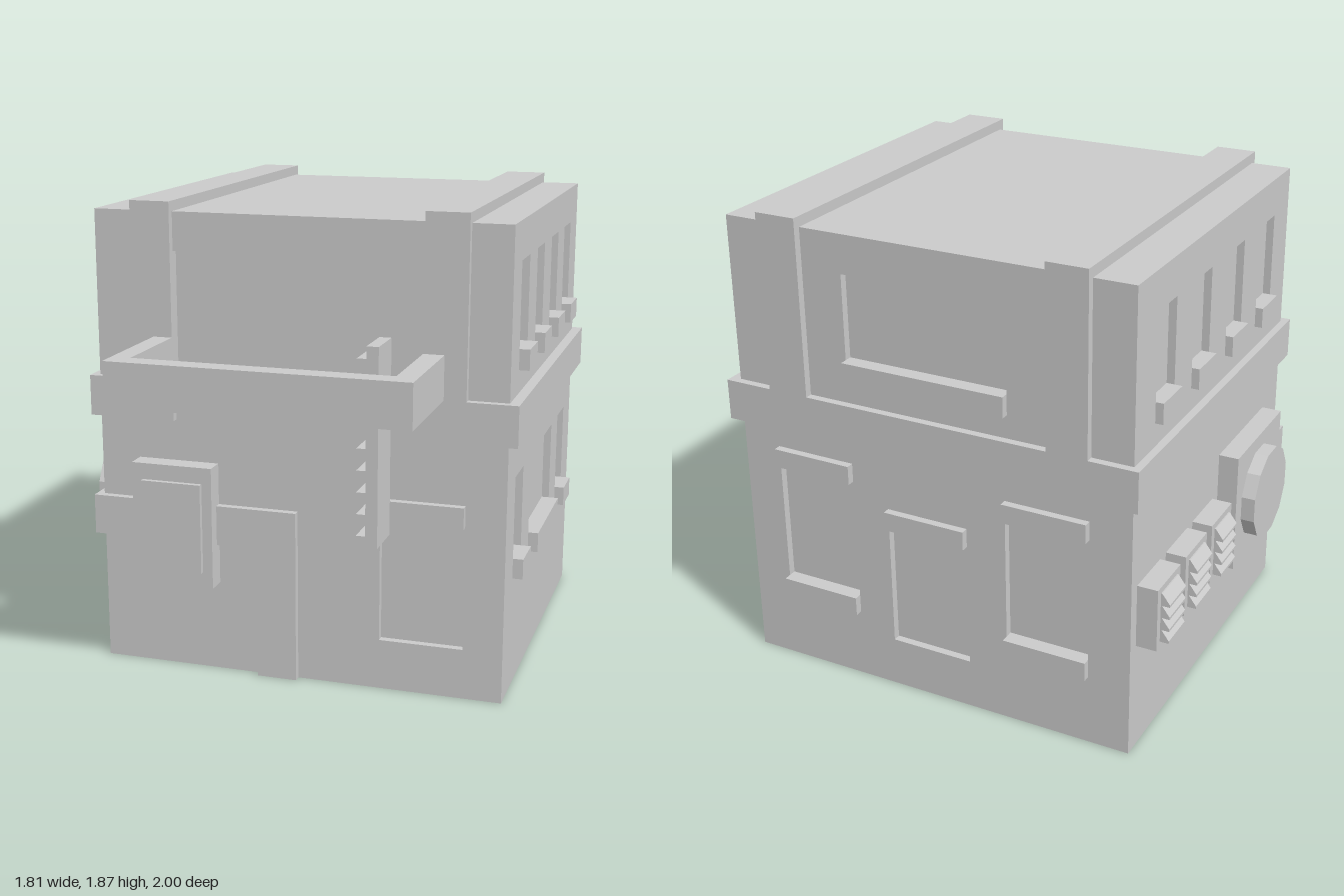
import * as THREE from 'three';

const X0 = -0.77, X1 = 0.86, Z0 = -0.97, Z1 = 0.51, H = 1.83; // shell extents
const T = 0.03; // relief depth of recesses and trim

const mat = new THREE.MeshStandardMaterial({ color: 0xcccccc, flatShading: true });
const shellMat = new THREE.MeshStandardMaterial({ color: 0xcccccc, flatShading: true, side: THREE.DoubleSide });

function add(parent, name, geometry, material = mat) {
  const mesh = new THREE.Mesh(geometry, material);
  mesh.name = name;
  parent.add(mesh);
  return mesh;
}

// Box given by its limits on each axis
function box(parent, name, x0, x1, y0, y1, z0, z1) {
  const mesh = add(parent, name, new THREE.BoxGeometry(x1 - x0, y1 - y0, z1 - z0));
  mesh.position.set((x0 + x1) / 2, (y0 + y1) / 2, (z0 + z1) / 2);
  return mesh;
}

function rectPath(target, u0, u1, v0, v1) {
  target.moveTo(u0, v0);
  target.lineTo(u1, v0);
  target.lineTo(u1, v1);
  target.lineTo(u0, v1);
  target.closePath();
  return target;
}

// Wall facing local +z, with a sunken pan behind each opening
function facade(parent, name, u0, u1, recesses, position, turn) {
  const group = new THREE.Group();
  group.name = name;
  group.position.set(...position);
  group.rotation.y = turn;
  const shape = rectPath(new THREE.Shape(), u0, u1, 0, H);
  for (const [a, b, c, d] of recesses) {
    shape.holes.push(rectPath(new THREE.Path(), a, b, c, d));
    const pan = new THREE.BoxGeometry(b - a, d - c, T);
    const index = Array.from(pan.index.array);
    index.splice(24, 6); // open the front
    pan.setIndex(index);
    pan.clearGroups();
    add(group, 'windowRecess', pan, shellMat).position.set((a + b) / 2, (c + d) / 2, -T / 2);
  }
  add(group, 'wall', new THREE.ShapeGeometry(shape), shellMat);
  parent.add(group);
  return group;
}

export function createModel() {
  const model = new THREE.Group();
  model.name = 'building';

  // Side walls: four windows above, three below, each with a sill
  const upper = [[-0.35, -0.185], [-0.02, 0.14], [0.31, 0.475], [0.635, 0.8]];
  const lower = [[-0.35, -0.185], [-0.02, 0.475], [0.635, 0.8]];
  const mirror = (list) => list.map(([a, b]) => [-b, -a]);
  const upperRecess = ([a, b]) => [a, b, 1.35, 1.68];

  const left = facade(model, 'leftWall', -Z1, -Z0,
    [...upper.map(upperRecess), ...lower.map(([a, b]) => [a, b, 0.53, 0.855])], [X1, 0, 0], Math.PI / 2);
  for (const [a, b] of upper) box(left, 'sill', a, b, 1.27, 1.35, 0, 0.04);
  for (const [a, b] of lower) box(left, 'sill', a, b, 0.45, 0.53, 0, 0.04);

  const right = facade(model, 'rightWall', Z0, Z1, mirror(upper).map(upperRecess), [X0, 0, 0], -Math.PI / 2);
  for (const [a, b] of mirror(upper)) box(right, 'sill', a, b, 1.27, 1.35, 0, T);

  // Fan unit on the right wall
  box(right, 'fanHousing', -0.15, 0.34, 0.365, 0.855, 0, 0.08);
  const fan = new THREE.CylinderGeometry(0.19, 0.19, 0.055, 12);
  fan.rotateY(Math.PI / 12);
  fan.rotateX(Math.PI / 2);
  add(right, 'fanDisc', fan).position.set(0.095, 0.61, 0.1075);

  // Louvred vents on the right wall
  const slats = 4, slatH = 0.05, ventY = 0.465;
  const saw = new THREE.Shape();
  saw.moveTo(0, 0);
  for (let i = 0; i < slats; i++) {
    saw.lineTo(0.035, i * slatH);
    saw.lineTo(0.035, i * slatH + 0.01);
    saw.lineTo(0.005, (i + 1) * slatH);
  }
  saw.lineTo(0, slats * slatH);
  saw.closePath();
  const louvre = new THREE.ExtrudeGeometry(saw, { depth: 0.147, bevelEnabled: false });
  louvre.rotateY(-Math.PI / 2);
  for (const u of [-0.82, -0.563, -0.307]) {
    box(right, 'ventPlate', u - 0.102, u + 0.102, 0.44, 0.69, 0, 0.08);
    add(right, 'ventLouvres', louvre).position.set(u + 0.0735, ventY, 0.08);
  }

  // Back wall: two windows and a doorway below, a wide window above
  const back = facade(model, 'backWall', -X1, -X0, [
    [-0.705, -0.375, 0.36, 0.855],
    [-0.225, 0.11, 0.2, 0.7],
    [0.27, 0.605, 0.36, 0.855],
    [-0.375, 0.285, 1.35, 1.68],
  ], [0, 0, Z0], Math.PI);
  for (const [a, b] of [[-0.705, -0.375], [0.27, 0.605]]) {
    box(back, 'lintel', a, b, 0.855, 0.93, 0, T);
    box(back, 'sill', a, b, 0.285, 0.36, 0, T);
  }
  box(back, 'lintel', -0.225, 0.11, 0.7, 0.775, 0, T);
  box(back, 'sill', -0.375, 0.285, 1.27, 1.35, 0, T);

  // Front wall: sunken balcony wall and one lower window
  const front = facade(model, 'frontWall', X0, X1, [
    [-0.45, 0.54, 1.24, 1.68],
    [0.375, 0.705, 0.2, 0.69],
  ], [0, 0, Z1], 0);
  box(front, 'lintel', 0.375, 0.705, 0.69, 0.775, 0, T);

  // Duct: up the front, across, and round the corner into the fan housing
  box(front, 'ductLeg', -0.115, 0.045, 0, 0.69, 0, T);
  box(front, 'ductRun', -0.8, -0.115, 0.53, 0.69, 0, T);
  box(model, 'ductCorner', -0.8, X0, 0.53, 0.69, 0.34, Z1);

  // Wall panel on the front
  box(front, 'panelFrame', -0.61, -0.28, 0.365, 0.855, 0, 0.08);
  box(front, 'panelFace', -0.565, -0.32, 0.43, 0.79, 0.08, 0.1);

  // Flat roof
  const roof = new THREE.PlaneGeometry(X1 - X0, Z1 - Z0);
  roof.rotateX(-Math.PI / 2);
  add(model, 'roof', roof, shellMat).position.set((X0 + X1) / 2, H, (Z0 + Z1) / 2);

  // Storey band, open across the middle of the front
  box(model, 'bandBack', -0.8, 0.9, 1.02, 1.18, -1, Z0);
  box(model, 'bandRight', -0.8, X0, 1.02, 1.18, Z0, Z1);
  box(model, 'bandLeft', X1, 0.9, 1.02, 1.18, Z0, Z1);
  box(model, 'bandFrontRight', -0.8, -0.45, 1.02, 1.18, Z1, 0.54);
  box(model, 'bandFrontLeft', 0.54, 0.9, 1.02, 1.18, Z1, 0.54);

  // Two straps running up the front, over the roof and down the back
  for (const [a, b] of [[-0.61, -0.45], [0.54, 0.705]]) {
    box(model, 'strapFront', a, b, 1.18, 1.87, Z1, 0.54);
    box(model, 'strapRoof', a, b, H, 1.87, Z0, Z1);
    box(model, 'strapBack', a, b, 1.18, 1.87, -1, Z0);
  }

  // Balcony: parapet on three sides and a floor with a ladder hatch
  box(model, 'parapetRight', -0.525, -0.45, 1.18, 1.35, 0.54, 0.92);
  box(model, 'parapetLeft', 0.54, 0.62, 1.18, 1.35, 0.54, 0.92);
  box(model, 'parapetFront', -0.525, 0.62, 1.18, 1.35, 0.92, 1);
  const floor = rectPath(new THREE.Shape(), -0.45, 0.54, -0.92, -Z1);
  floor.holes.push(rectPath(new THREE.Path(), 0.21, 0.455, -0.84, -0.67));
  const floorGeo = new THREE.ExtrudeGeometry(floor, { depth: 0.06, bevelEnabled: false });
  floorGeo.rotateX(-Math.PI / 2);
  add(model, 'balconyFloor', floorGeo).position.y = 1.18;

  // Ladder: a post with rungs, through the hatch
  box(model, 'ladderPost', 0.41, 0.455, 0.69, 1.43, 0.67, 0.84);
  for (let i = 0; i < 9; i++) {
    const y = 0.692 + i * 0.0815;
    box(model, 'ladderRung', 0.375, 0.41, y, y + 0.041, 0.67, 0.84);
  }

  return model;
}
